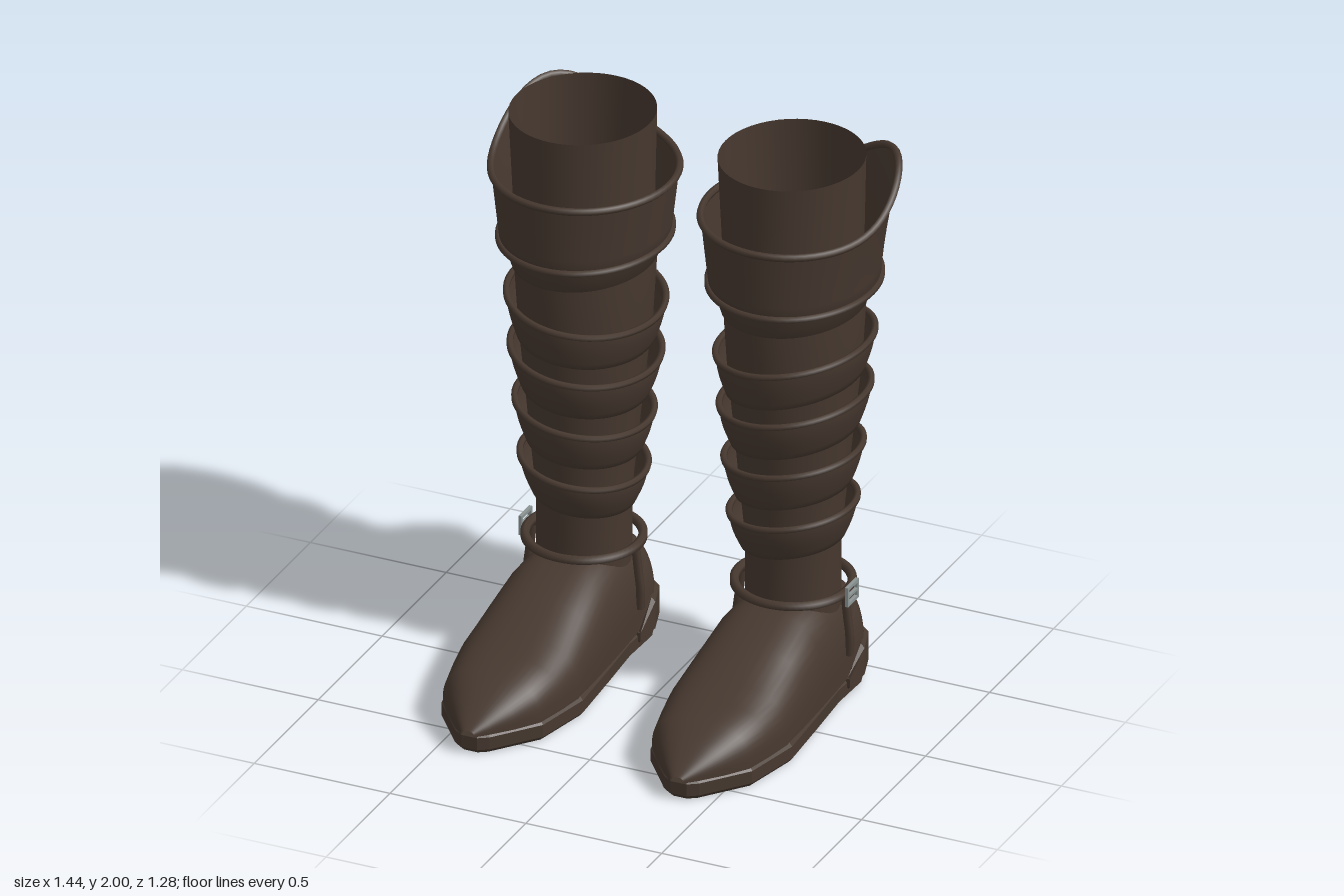
import * as THREE from 'three';

const leather = new THREE.MeshStandardMaterial({ color: 0x46382f, side: THREE.DoubleSide });
leather.name = 'dark brown leather';
const metal = new THREE.MeshStandardMaterial({ color: 0x8c9494 });
metal.name = 'grey metal';

const SEG = 48;
const V = (x, y, z) => new THREE.Vector3(x, y, z);

function add(group, name, geometry, material = leather) {
  const mesh = new THREE.Mesh(geometry, material);
  mesh.name = name;
  group.add(mesh);
  return mesh;
}

// Skin over rows of points; closed rows wrap around
function loft(rows, closed = true) {
  const n = rows[0].length, index = [];
  for (let i = 0; i < rows.length - 1; i++) {
    for (let j = 0; j < (closed ? n : n - 1); j++) {
      const k = (j + 1) % n, a = i * n, b = a + n;
      index.push(a + j, b + j, a + k, a + k, b + j, b + k);
    }
  }
  const g = new THREE.BufferGeometry().setFromPoints(rows.flat());
  g.setIndex(index);
  g.computeVertexNormals();
  return g;
}

// Elliptical ring; tilt raises the outer side
function ring(y, cz, rx, rz, tilt = 0) {
  return Array.from({ length: SEG }, (_, j) => {
    const a = (j / SEG) * Math.PI * 2, x = Math.cos(a) * rx;
    return V(x, y + x * tilt, cz + Math.sin(a) * rz);
  });
}

const bead = (points, r) =>
  new THREE.TubeGeometry(new THREE.CatmullRomCurve3(points, true), 64, r, 6, true);

// Flat plan outline, mirrored from half widths [w, z], laid on the ground
function outline(half) {
  const pts = half.map(([w, z]) => new THREE.Vector2(w, -z));
  const back = half.map(([w, z]) => new THREE.Vector2(-w, -z)).reverse();
  return new THREE.Shape([...pts, ...back]);
}

function addFoot(boot) {
  // Upper: arched sections from toe to heel [z, half width, height]
  const sections = [
    [0.64, 0.025, 0.088], [0.6, 0.065, 0.118], [0.53, 0.125, 0.165], [0.45, 0.18, 0.21],
    [0.34, 0.205, 0.232], [0.24, 0.222, 0.256], [0.08, 0.218, 0.318], [-0.07, 0.212, 0.375],
    [-0.2, 0.205, 0.385], [-0.3, 0.2, 0.385], [-0.4, 0.19, 0.375], [-0.455, 0.165, 0.35],
    [-0.49, 0.125, 0.3], [-0.505, 0.07, 0.24], [-0.508, 0.005, 0.18]];
  const arch = (w, h, z) => Array.from({ length: 25 }, (_, i) => {
    const a = (i / 24) * Math.PI, c = Math.cos(a);
    return V(Math.sign(c) * Math.abs(c) ** 0.7 * w, 0.07 + (h - 0.07) * Math.abs(Math.sin(a)) ** 0.7, z);
  });
  add(boot, 'footUpper', loft(sections.map(([z, w, h]) => arch(w, h, z)), false));

  // Heel counter wrapped over the back of the upper
  const counter = [[-0.29, 0.206, 0.345], [-0.4, 0.2, 0.35], [-0.45, 0.178, 0.345],
    [-0.49, 0.14, 0.305], [-0.51, 0.08, 0.25], [-0.513, 0.005, 0.18]];
  add(boot, 'heelCounter', loft(counter.map(([z, w, h]) => arch(w, h, z)), false));

  // Sole
  const solePlan = [[0.025, 0.612], [0.055, 0.592], [0.175, 0.44], [0.22, 0.23], [0.205, 0],
    [0.19, -0.2], [0.195, -0.36], [0.16, -0.46], [0.085, -0.525]];
  const bevel = { bevelEnabled: true, bevelSize: 0.013, bevelThickness: 0.015, bevelSegments: 1 };
  const sole = new THREE.ExtrudeGeometry(outline(solePlan), { depth: 0.045, ...bevel });
  sole.rotateX(-Math.PI / 2).translate(0, 0.015, 0);
  add(boot, 'sole', sole);

  // Heel with a sloping front end
  const heelPlan = [[0.203, -0.27], [0.207, -0.36], [0.172, -0.465], [0.092, -0.53]];
  const heel = new THREE.ExtrudeGeometry(outline(heelPlan), { depth: 0.1, ...bevel });
  heel.rotateX(-Math.PI / 2).translate(0, 0.045, 0);
  const p = heel.attributes.position;
  for (let i = 0; i < p.count; i++) {
    if (p.getY(i) > 0.1 && p.getZ(i) > -0.32) p.setY(i, 0.075);
  }
  heel.computeVertexNormals();
  add(boot, 'heel', heel);
}

function addShaft(boot) {
  // Leg tube [y, centre z, x radius, z radius]
  const rows = [[0.3, -0.272, 0.16, 0.165], [0.57, -0.272, 0.16, 0.165], [0.8, -0.275, 0.18, 0.2],
    [1.0, -0.28, 0.197, 0.23], [1.2, -0.285, 0.215, 0.265], [1.42, -0.285, 0.228, 0.28],
    [1.6, -0.275, 0.228, 0.262], [2.0, -0.262, 0.245, 0.262]];
  add(boot, 'shaft', loft(rows.map((r) => ring(...r))));

  // Overlapping slanted bands: [top y, height, centre z, top radii, bottom radii]
  const bands = [
    [1.295, 0.135, -0.288, 0.258, 0.302, 0.225, 0.278],
    [1.1, 0.14, -0.287, 0.246, 0.288, 0.21, 0.25],
    [0.895, 0.135, -0.275, 0.23, 0.248, 0.194, 0.217],
    [0.69, 0.13, -0.272, 0.212, 0.226, 0.174, 0.185]];
  for (const [top, h, cz, tx, tz, bx, bz] of bands) {
    const wrap = [];
    wrap.push(ring(top - h - 0.008, cz, bx - 0.02, bz - 0.02, 0.135));
    for (let i = 0; i <= 6; i++) {
      const t = i / 6, k = Math.sin((t * Math.PI) / 2);
      wrap.push(ring(top - h + h * t, cz, bx + (tx - bx) * k, bz + (tz - bz) * k, 0.135));
    }
    add(boot, 'legBand', loft(wrap));
    add(boot, 'legBandRim', bead(ring(top, cz, tx, tz, 0.135), 0.012));
  }
}

function addCuff(boot) {
  const cz = -0.283;
  // Upper edge sweeps up to a peak at the outer back
  const edge = (t) => ring(1.54, cz, 0.28 + 0.03 * t, 0.325 + 0.008 * t).map((p, j) => {
    let a = (j / SEG) * Math.PI * 2 + Math.PI / 4;
    a = Math.atan2(Math.sin(a), Math.cos(a));
    const bump = Math.exp(-((a / 0.7) ** 2)), flare = 1 + 0.12 * bump * t * t;
    return V(p.x * flare, 1.54 + t * (0.235 + 0.165 * bump), cz + (p.z - cz) * flare);
  });
  const rows = [ring(1.445, cz, 0.225, 0.28), ring(1.45, cz, 0.236, 0.298), ring(1.49, cz, 0.252, 0.306)];
  for (let i = 0; i <= 6; i++) rows.push(edge(i / 6));
  add(boot, 'cuff', loft(rows));
  add(boot, 'cuffTopRim', bead(edge(1), 0.013));
  add(boot, 'cuffLowerRim', bead(ring(1.537, cz, 0.282, 0.328), 0.012));
}

function addAnkleStrap(boot) {
  add(boot, 'ankleStrap', bead(ring(0.398, -0.272, 0.197, 0.197), 0.017));
  // Side straps running down to the sole
  for (const s of [1, -1]) {
    const path = new THREE.CatmullRomCurve3([V(s * 0.19, 0.39, -0.272), V(s * 0.2, 0.3, -0.272),
      V(s * 0.208, 0.23, -0.272), V(s * 0.207, 0.16, -0.272)]);
    add(boot, 'sideStrap', new THREE.TubeGeometry(path, 12, 0.015, 6));
  }
  // Buckle frame with a centre bar on the outer side
  const frame = new THREE.Shape([[-0.042, -0.036], [0.042, -0.036], [0.042, 0.036], [-0.042, 0.036]]
    .map((c) => new THREE.Vector2(...c)));
  frame.holes.push(new THREE.Path([[-0.03, -0.024], [-0.03, 0.024], [0.03, 0.024], [0.03, -0.024]]
    .map((c) => new THREE.Vector2(...c))));
  const buckle = new THREE.Group();
  buckle.name = 'buckle';
  add(buckle, 'buckleFrame', new THREE.ExtrudeGeometry(frame, { depth: 0.012, bevelEnabled: false }));
  add(buckle, 'buckleBar', new THREE.BoxGeometry(0.066, 0.01, 0.01), metal).position.z = 0.007;
  buckle.children[0].material = metal;
  buckle.rotation.y = Math.PI / 2;
  buckle.position.set(0.21, 0.396, -0.272);
  boot.add(buckle);
}

export function createModel() {
  const model = new THREE.Group();
  model.name = 'pairOfBoots';
  for (const side of [1, -1]) {
    const boot = new THREE.Group();
    boot.name = side > 0 ? 'leftBoot' : 'rightBoot';
    addFoot(boot);
    addShaft(boot);
    addCuff(boot);
    addAnkleStrap(boot);
    boot.position.x = side * 0.385;
    boot.scale.x = side;
    model.add(boot);
  }
  return model;
}
